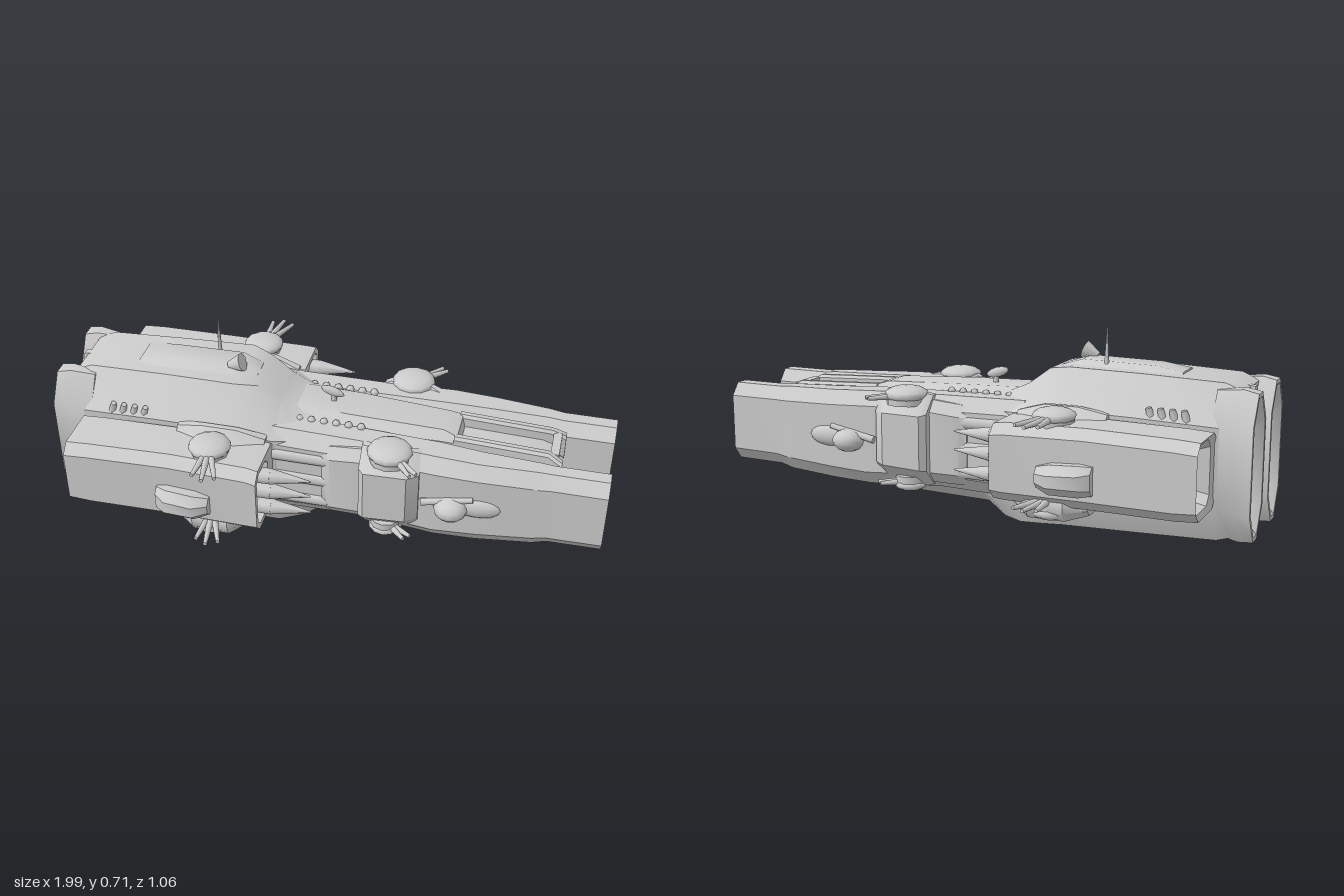
import * as THREE from 'three';
import { toCreasedNormals } from 'three/addons/utils/BufferGeometryUtils.js';

const material = new THREE.MeshStandardMaterial({ color: 0xcccccc });

// Lofts chamfered rectangles along x. Section: [x, zMin, zMax, yMin, yMax, topCutZ, topCutY, bottomCutZ, bottomCutY].
// Doubling back along x makes an open mouth with a rim.
function loft(sections, side = 1) {
  const rings = sections.map(([x, za, zb, y0, y1, tz, ty, bz = tz, by = ty]) => {
    const [z0, z1] = side > 0 ? [za, zb] : [-zb, -za];
    return [[z1 - bz, y0], [z1, y0 + by], [z1, y1 - ty], [z1 - tz, y1],
      [z0 + tz, y1], [z0, y1 - ty], [z0, y0 + by], [z0 + bz, y0]].map(([z, y]) => new THREE.Vector3(x, y, z));
  });
  const pos = [];
  const tri = (...points) => points.forEach((p) => pos.push(p.x, p.y, p.z));
  for (let i = 0; i < rings.length - 1; i++) {
    for (let j = 0; j < 8; j++) {
      const k = (j + 1) % 8, a = rings[i], b = rings[i + 1];
      tri(a[j], b[j], a[k]);
      tri(a[k], b[j], b[k]);
    }
  }
  const first = rings[0], last = rings[rings.length - 1];
  for (let j = 1; j < 7; j++) {
    tri(first[0], first[j], first[j + 1]);
    tri(last[0], last[j + 1], last[j]);
  }
  const geometry = new THREE.BufferGeometry();
  geometry.setAttribute('position', new THREE.Float32BufferAttribute(pos, 3));
  return toCreasedNormals(geometry, 0.6);
}

function add(parent, name, geometry, x = 0, y = 0, z = 0) {
  const mesh = new THREE.Mesh(geometry, material);
  mesh.name = name;
  mesh.position.set(x, y, z);
  parent.add(mesh);
  return mesh;
}

// Tapered round bar between two points
function bar(parent, name, from, to, r0, r1, sides = 8) {
  const a = new THREE.Vector3(...from), b = new THREE.Vector3(...to);
  const dir = b.clone().sub(a);
  const mesh = add(parent, name, new THREE.CylinderGeometry(r1, r0, dir.length(), sides));
  mesh.position.copy(a).add(b).multiplyScalar(0.5);
  mesh.quaternion.setFromUnitVectors(new THREE.Vector3(0, 1, 0), dir.normalize());
}

// Flattened dome with fanned gun barrels at height barrelY; up is +1 on top, -1 underneath
function turret(parent, name, x, y, z, r, up, barrelY, tips) {
  const group = new THREE.Group();
  group.name = name;
  parent.add(group);
  add(group, 'turretBase', new THREE.CylinderGeometry(r * 0.9, r * 0.9, 0.04, 10), x, y, z);
  add(group, 'turretDome', new THREE.SphereGeometry(r, 12, 8), x, y + up * 0.015, z).scale.y = 0.38;
  tips.forEach(([dx, dz]) => bar(group, 'barrel', [x + dx * 0.3, barrelY, z + dz * 0.3],
    [x + dx, barrelY, z + dz], 0.013, 0.007));
}

export function createModel() {
  const ship = new THREE.Group();
  ship.name = 'spaceship';

  // Rear hull, sloping down to the neck
  add(ship, 'rearHull', loft([
    [-0.94, -0.2, 0.2, 0.05, 0.53, 0.09, 0.12, 0.05, 0.1],
    [-0.88, -0.215, 0.215, 0.035, 0.555, 0.1, 0.13, 0.05, 0.12],
    [-0.6, -0.222, 0.222, 0.028, 0.565, 0.1, 0.13, 0.05, 0.13],
    [-0.34, -0.23, 0.23, 0.02, 0.57, 0.1, 0.13, 0.06, 0.13],
    [-0.26, -0.23, 0.23, 0.015, 0.555, 0.13, 0.13, 0.06, 0.14],
    [-0.18, -0.225, 0.225, 0.01, 0.495, 0.13, 0.08, 0.06, 0.15],
    [-0.1, -0.2, 0.2, 0.01, 0.46, 0.11, 0.05, 0.08, 0.15],
    [0, -0.18, 0.18, 0.06, 0.45, 0.1, 0.05, 0.1, 0.1]]));
  add(ship, 'upperDeck', loft([
    [-0.72, -0.07, 0.07, 0.5, 0.567, 0.02, 0.01],
    [-0.62, -0.08, 0.08, 0.5, 0.582, 0.03, 0.02],
    [-0.36, -0.08, 0.08, 0.5, 0.586, 0.03, 0.02],
    [-0.28, -0.07, 0.07, 0.5, 0.56, 0.03, 0.02]]));

  // Tall engine nozzles with hollow mouths, side by side
  [[-0.13, 0.09, -1, 0.04, 0.535], [0, 0.05, -0.955, 0.05, 0.53], [0.13, 0.09, -1, 0.04, 0.535]].forEach(([z, w, x, y0, y1]) =>
    add(ship, 'engineNozzle', loft([
      [x + 0.1, z - w * 0.6, z + w * 0.6, y0 + 0.12, y1 - 0.12, w * 0.4, 0.05],
      [x + 0.03, z - w + 0.025, z + w - 0.025, y0 + 0.05, y1 - 0.05, w * 0.5, 0.07],
      [x, z - w + 0.015, z + w - 0.015, y0 + 0.015, y1 - 0.015, w * 0.6, 0.09],
      [x, z - w, z + w, y0, y1, w * 0.7, 0.1],
      [x + 0.05, z - w, z + w, y0 - 0.005, y1 + 0.01, w * 0.75, 0.11],
      [x + 0.14, z - w + 0.01, z + w - 0.01, y0 + 0.01, y1, w * 0.75, 0.11]])));

  // Central spine with a sunken bow deck
  add(ship, 'spine', loft([
    [-0.2, -0.12, 0.12, 0.06, 0.475, 0.05, 0.03],
    [0.1, -0.11, 0.11, 0.07, 0.465, 0.04, 0.03],
    [0.4, -0.09, 0.09, 0.08, 0.45, 0.03, 0.03],
    [0.45, -0.085, 0.085, 0.1, 0.435, 0.015, 0.02],
    [0.46, -0.085, 0.085, 0.1, 0.395, 0.015, 0.02],
    [0.74, -0.085, 0.085, 0.1, 0.385, 0.02, 0.03],
    [0.8, -0.075, 0.075, 0.13, 0.365, 0.03, 0.06]]));
  add(ship, 'bowDeckEnd', new THREE.BoxGeometry(0.03, 0.08, 0.13), 0.79, 0.375, 0);

  // Keel under the neck
  add(ship, 'keel', loft([
    [-0.3, -0.1, 0.1, 0.012, 0.2, 0, 0, 0.03, 0.03],
    [-0.1, -0.14, 0.14, 0.002, 0.2, 0, 0, 0.05, 0.06],
    [-0.03, -0.12, 0.12, 0.045, 0.2, 0, 0, 0.04, 0.04],
    [0.4, -0.1, 0.1, 0.05, 0.2, 0, 0, 0.04, 0.04],
    [0.45, -0.08, 0.08, 0.09, 0.2, 0, 0, 0.03, 0.02],
    [0.75, -0.07, 0.07, 0.1, 0.2, 0, 0, 0.03, 0.02]]));

  for (const s of [1, -1]) {
    // Bow prong with a hollow, rimmed mouth
    add(ship, 'bowProng', loft([
      [-0.2, 0.06, 0.22, 0.1, 0.45, 0.04, 0.05],
      [0.12, 0.07, 0.225, 0.11, 0.445, 0.04, 0.05],
      [0.4, 0.08, 0.245, 0.095, 0.44, 0.04, 0.05],
      [0.55, 0.095, 0.24, 0.1, 0.432, 0.035, 0.05],
      [0.75, 0.1, 0.225, 0.11, 0.425, 0.035, 0.05],
      [0.8, 0.1, 0.22, 0.122, 0.42, 0.035, 0.045],
      [0.99, 0.1, 0.22, 0.125, 0.42, 0.035, 0.045],
      [0.99, 0.112, 0.207, 0.138, 0.407, 0.03, 0.04],
      [0.9, 0.116, 0.2, 0.145, 0.4, 0.025, 0.035]], s));
    add(ship, 'deckRail', loft([
      [0.44, 0.05, 0.088, 0.34, 0.44, 0.01, 0.01],
      [0.77, 0.05, 0.088, 0.34, 0.425, 0.01, 0.01],
      [0.82, 0.062, 0.102, 0.3, 0.4, 0.01, 0.01]], s));
    for (let i = 0; i < 4; i++) {
      bar(ship, 'mouthTooth', [0.9, 0.18 + i * 0.06, s * 0.12], [0.975, 0.18 + i * 0.06, s * 0.118], 0.016, 0.004, 5);
    }
    // Neck armour and pipes between pod and collar
    add(ship, 'neckPlate', loft([
      [0, 0.1, 0.228, 0.14, 0.41, 0.02, 0.03],
      [0.03, 0.1, 0.238, 0.13, 0.42, 0.03, 0.04],
      [0.15, 0.1, 0.24, 0.13, 0.43, 0.03, 0.04]], s));
    for (const y of [0.18, 0.27, 0.36]) {
      bar(ship, 'neckPipe', [-0.2, y, s * 0.212], [0.02, y, s * 0.212], 0.025, 0.025);
    }

    // Collar around the prong
    add(ship, 'collar', loft([
      [0.14, 0.12, 0.265, 0.12, 0.445, 0.06, 0.06],
      [0.16, 0.12, 0.285, 0.115, 0.45, 0.07, 0.07],
      [0.31, 0.12, 0.28, 0.12, 0.45, 0.07, 0.07],
      [0.35, 0.12, 0.25, 0.13, 0.44, 0.05, 0.06]], s));
    turret(ship, 'foreTurret', 0.24, 0.43, s * 0.22, 0.08, 1, 0.44, [[0.11, s * 0.1], [0.09, s * 0.115]]);
    turret(ship, 'foreLowerTurret', 0.23, 0.13, s * 0.215, 0.06, -1, 0.125, [[0.08, s * 0.08], [0.1, s * 0.06]]);

    // Blisters on the prong flank
    add(ship, 'prongBlister', new THREE.SphereGeometry(1, 12, 8), 0.465, 0.26, s * 0.25).scale.set(0.06, 0.042, 0.06);
    add(ship, 'prongFairing', new THREE.SphereGeometry(1, 12, 8), 0.55, 0.265, s * 0.23).scale.set(0.09, 0.04, 0.028);
    bar(ship, 'flankGun', [0.36, 0.27, s * 0.25], [0.54, 0.305, s * 0.245], 0.014, 0.01);

    // Side pod, hollow at both ends
    add(ship, 'sidePod', loft([
      [-0.78, 0.25, 0.4, 0.2, 0.37, 0.03, 0.03],
      [-0.87, 0.24, 0.415, 0.18, 0.4, 0.03, 0.03],
      [-0.88, 0.2, 0.43, 0.16, 0.415, 0.035, 0.035],
      [-0.8, 0.2, 0.43, 0.155, 0.42, 0.035, 0.035],
      [-0.5, 0.2, 0.425, 0.155, 0.425, 0.035, 0.035],
      [-0.22, 0.2, 0.43, 0.155, 0.42, 0.035, 0.035],
      [-0.18, 0.2, 0.435, 0.16, 0.415, 0.035, 0.035],
      [-0.18, 0.285, 0.415, 0.18, 0.395, 0.025, 0.025],
      [-0.3, 0.29, 0.405, 0.19, 0.385, 0.02, 0.02]], s));
    add(ship, 'podShoulder', loft([
      [-0.52, 0.18, 0.27, 0.36, 0.44, 0.03, 0.03],
      [-0.42, 0.18, 0.3, 0.36, 0.46, 0.05, 0.05],
      [-0.3, 0.18, 0.3, 0.36, 0.46, 0.05, 0.05],
      [-0.2, 0.18, 0.27, 0.36, 0.43, 0.03, 0.03]], s));
    add(ship, 'podLowerShoulder', loft([
      [-0.5, 0.17, 0.36, 0.12, 0.2, 0.02, 0.02],
      [-0.43, 0.17, 0.41, 0.105, 0.2, 0.02, 0.03],
      [-0.3, 0.17, 0.41, 0.105, 0.2, 0.02, 0.03],
      [-0.22, 0.17, 0.34, 0.13, 0.2, 0.02, 0.02]], s));
    // Missiles
    for (const y of [0.225, 0.295, 0.36]) {
      bar(ship, 'missileBody', [-0.3, y, s * 0.347], [-0.15, y, s * 0.347], 0.03, 0.028);
      bar(ship, 'missileTip', [-0.15, y, s * 0.347], [-0.01, y, s * 0.345], 0.028, 0.003);
    }
    // Pod turrets and flank sponson
    const fan = [[-0.01, s * 0.165], [0.03, s * 0.185], [0.07, s * 0.165]];
    turret(ship, 'podTurret', -0.37, 0.43, s * 0.335, 0.075, 1, 0.44, fan);
    turret(ship, 'podLowerTurret', -0.37, 0.14, s * 0.345, 0.075, -1, 0.168, fan);
    add(ship, 'sponson', loft([
      [-0.54, 0.39, 0.455, 0.215, 0.31, 0.02, 0.02],
      [-0.5, 0.39, 0.485, 0.21, 0.315, 0.03, 0.03],
      [-0.4, 0.39, 0.49, 0.21, 0.31, 0.03, 0.03],
      [-0.35, 0.39, 0.46, 0.225, 0.295, 0.02, 0.02]], s));

    // Small studs on the hull flank and neck deck
    for (let i = 0; i < 4; i++) {
      bar(ship, 'hullStud', [-0.78 + i * 0.04, 0.43, s * 0.2], [-0.77 + i * 0.04, 0.47, s * 0.208], 0.016, 0.01, 6);
    }
    for (let i = 0; i < 6; i++) {
      add(ship, 'neckStud', new THREE.SphereGeometry(0.016, 6, 4), -0.11 + i * 0.045, 0.445, s * 0.11);
    }
  }

  // Masts and dishes
  bar(ship, 'antenna', [-0.45, 0.57, -0.055], [-0.45, 0.71, -0.055], 0.009, 0.002, 6);
  bar(ship, 'dishMast', [-0.37, 0.57, 0.04], [-0.36, 0.6, 0.04], 0.014, 0.01, 6);
  bar(ship, 'dish', [-0.385, 0.585, 0.04], [-0.335, 0.605, 0.04], 0.014, 0.034, 8);
  bar(ship, 'neckDishMast', [-0.01, 0.45, 0], [-0.01, 0.5, 0], 0.012, 0.008, 6);
  const dish = add(ship, 'neckDish', new THREE.SphereGeometry(1, 10, 6), -0.015, 0.505, 0);
  dish.scale.set(0.045, 0.018, 0.012);
  dish.rotation.z = -0.3;
  return ship;
}
